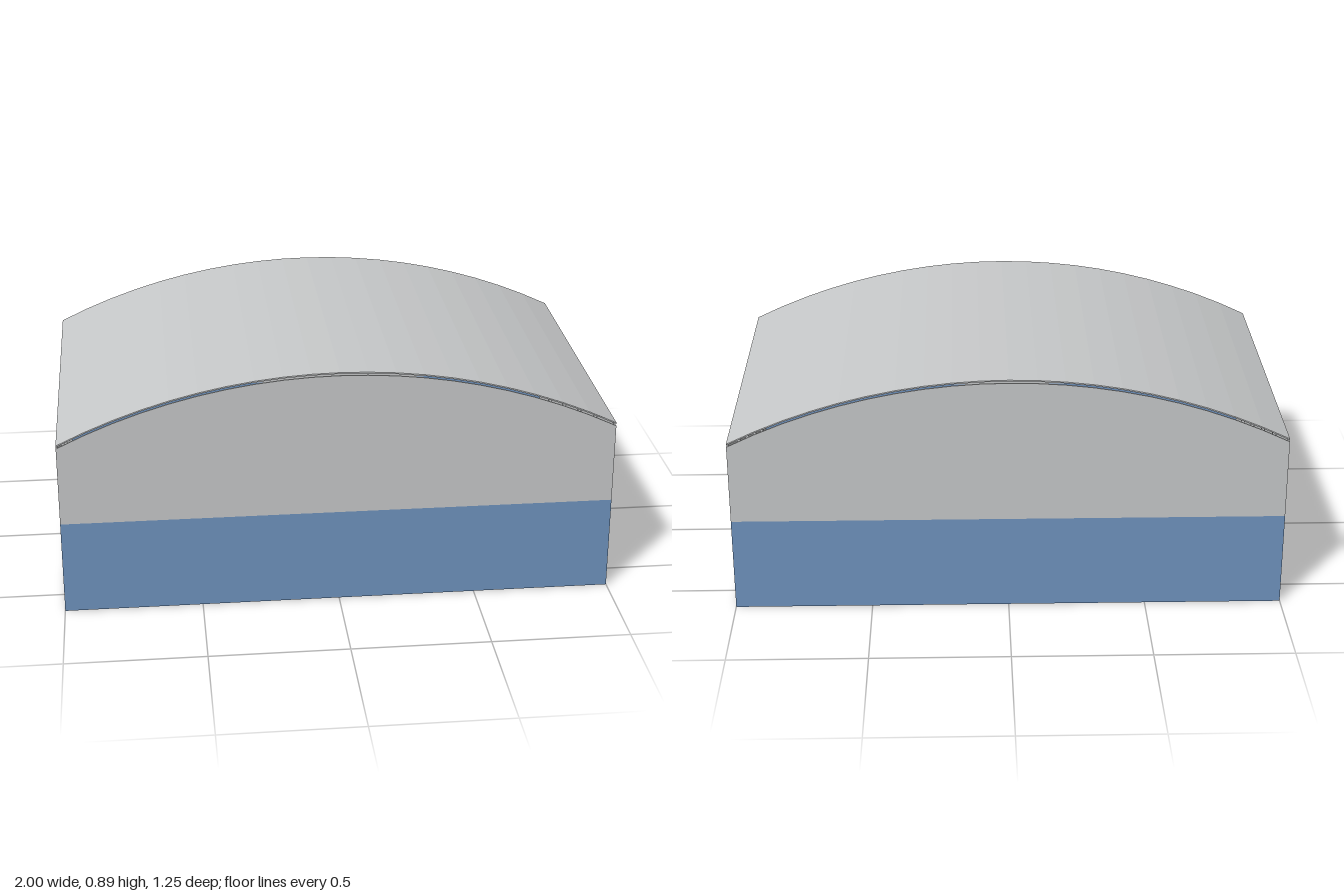
import * as THREE from 'three';

const HALF_W = 1, HALF_D = 0.625, EAVE = 0.645, BAND = 0.35, SKIN = 0.005;
const RISE = 0.236, SEGMENTS = 20;
const RADIUS = (HALF_W * HALF_W + RISE * RISE) / (2 * RISE);

// Points of the shallow roof arc, left to right, with the given eave height
function arc(eave, halfW = HALF_W) {
  const points = [];
  for (let i = 0; i <= SEGMENTS; i++) {
    const x = -halfW + (2 * halfW * i) / SEGMENTS;
    points.push(new THREE.Vector2(x, eave + RISE - RADIUS + Math.sqrt(RADIUS * RADIUS - x * x)));
  }
  return points;
}

export function createModel() {
  const model = new THREE.Group();
  model.name = 'archedHall';
  const grey = new THREE.MeshStandardMaterial({ color: 0xc8cacb, flatShading: true });
  grey.name = 'light grey cladding';
  const blue = new THREE.MeshStandardMaterial({ color: 0x7094c0, flatShading: true });
  blue.name = 'blue cladding';

  const add = (name, geometry, material, x = 0, y = 0, z = 0, parent = model) => {
    const mesh = new THREE.Mesh(geometry, material);
    mesh.name = name;
    mesh.position.set(x, y, z);
    parent.add(mesh);
    return mesh;
  };
  const box = (w, h, d) => new THREE.BoxGeometry(w, h, d);
  const extrude = (points, depth) =>
    new THREE.ExtrudeGeometry(new THREE.Shape(points), { depth, bevelEnabled: false });
  // Curved strip between a lower and an upper arc
  const archStrip = (low, high, depth, halfW) =>
    extrude([...arc(low, halfW), ...arc(high, halfW).reverse()], depth);

  // Floor slab, set just inside the walls
  add('floor', box(2 * (HALF_W - SKIN), SKIN, 2 * (HALF_D - SKIN)), grey, 0, SKIN / 2, 0);

  // Long side walls
  for (const side of [-1, 1]) {
    add(side > 0 ? 'leftWall' : 'rightWall', box(SKIN, EAVE, 2 * (HALF_D - SKIN)), grey,
      side * (HALF_W - SKIN / 2), EAVE / 2, 0);
  }

  // End walls: blue base band with an arched grey gable above
  for (const end of [-1, 1]) {
    const label = end > 0 ? 'front' : 'back';
    add(label + 'Band', box(2 * HALF_W, BAND, SKIN), blue, 0, BAND / 2, end * (HALF_D - SKIN / 2));
    const outline = [new THREE.Vector2(-HALF_W, BAND), new THREE.Vector2(HALF_W, BAND),
      ...arc(EAVE).reverse()];
    add(label + 'Gable', extrude(outline, SKIN), grey, 0, 0, end > 0 ? HALF_D - SKIN : -HALF_D);
  }

  // Roof sheet, floating a little above the wall tops
  add('roof', archStrip(0.652, 0.657, 2 * HALF_D), grey, 0, 0, -HALF_D);

  // Inner portal frames: two posts and an arched rafter each
  for (const z of [-0.375, -0.125, 0.125, 0.375]) {
    const frame = new THREE.Group();
    frame.name = 'portalFrame';
    frame.position.z = z;
    model.add(frame);
    for (const side of [-1, 1]) {
      add('post', box(0.012, 0.64, 0.012), grey, side * 0.985, 0.325, 0, frame);
    }
    add('rafter', archStrip(0.625, 0.651, 0.012, 0.99), grey, 0, 0, -0.006, frame);
  }
  return model;
}
